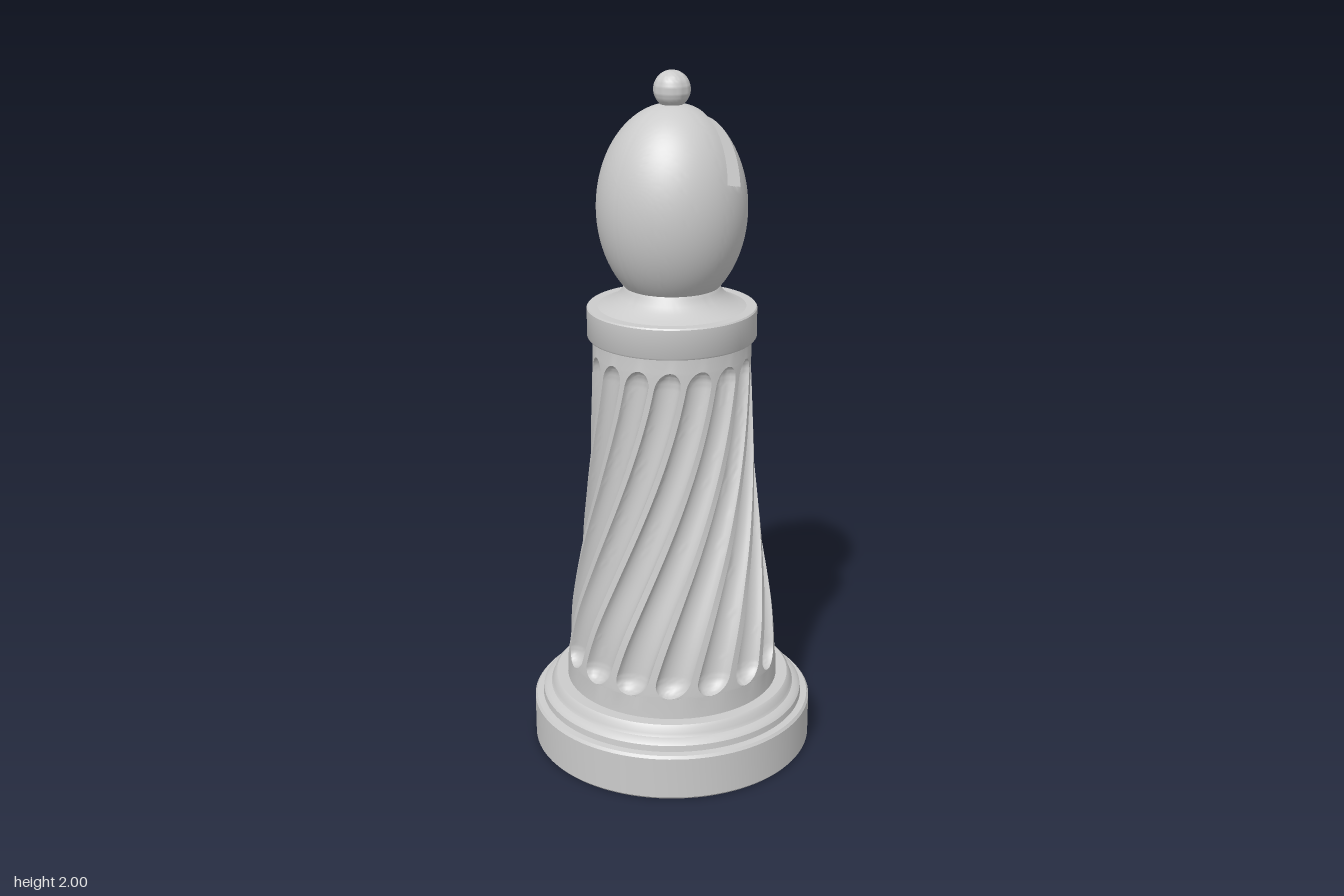
import * as THREE from 'three';
import { toCreasedNormals } from 'three/addons/utils/BufferGeometryUtils.js';

const material = new THREE.MeshStandardMaterial({ color: 0xcccccc });

function addPart(group, name, geometry, crease = 0.6) {
  const mesh = new THREE.Mesh(toCreasedNormals(geometry, crease), material);
  mesh.name = name;
  group.add(mesh);
  return mesh;
}

function lathe(profile) {
  return new THREE.LatheGeometry(profile.map(([r, y]) => new THREE.Vector2(r, y)), 96);
}

// Skin a list of closed loops, each an equally long array of [x, y, z]
function loft(loops) {
  const n = loops[0].length;
  const index = [];
  for (let i = 0; i < loops.length - 1; i++) {
    for (let j = 0; j < n; j++) {
      const k = (j + 1) % n;
      const a = i * n + j, b = i * n + k, c = a + n, d = b + n;
      index.push(a, b, d, a, d, c);
    }
  }
  const geometry = new THREE.BufferGeometry();
  geometry.setAttribute('position', new THREE.Float32BufferAttribute(loops.flat(2), 3));
  geometry.setIndex(index);
  return geometry;
}

// Tapered column with twisted, round-ended flutes
function flutedShaft() {
  const bottom = 0.2, top = 1.27, start = 0.265, end = 1.215;
  const flutes = 16, pitch = (Math.PI * 2) / flutes, twist = pitch * 3;
  const radii = [0.315, 0.301, 0.271, 0.247, 0.233, 0.226, 0.223];
  const profile = new THREE.SplineCurve(radii.map((r, i) => new THREE.Vector2(r, bottom + i * 0.2)));

  const heights = [bottom];
  for (let i = 0; i <= 72; i++) {
    heights.push(start + (end - start) * (1 - Math.cos((Math.PI * i) / 72)) / 2);
  }
  heights.push(top);

  return loft(heights.map((y) => {
    const r = profile.getPoint((y - bottom) / 1.2).x;
    const q = THREE.MathUtils.clamp((y - start) / (end - start), 0, 1);
    const turn = twist * (0.55 * q + 0.45 * q * q * (3 - 2 * q));
    const inset = THREE.MathUtils.clamp(Math.min(y - start, end - y) / 0.05, 0, 1);
    const width = Math.sqrt(1 - (1 - inset) ** 2);
    const edge = 0.41 * width;
    const loop = [];
    const add = (position, depth) => {
      const angle = position * pitch + turn;
      loop.push([Math.sin(angle) * (r - depth), y, Math.cos(angle) * (r - depth)]);
    };
    for (let k = 0; k < flutes; k++) {
      for (let j = 0; j <= 10; j++) {
        const a = (Math.PI * j) / 10;
        add(k - edge * Math.cos(a), 0.115 * r * width * Math.sin(a));
      }
      for (let m = 1; m < 4; m++) add(k + edge + (1 - 2 * edge) * m / 4, 0);
    }
    return loop;
  }));
}

// Ellipsoid sliced across a tilted slot; slices in the slot are cut off at its floor
function slottedHead() {
  const a = 0.21, b = 0.287, centreY = 1.625;
  const tilt = 0.235, s = Math.sin(tilt), c = Math.cos(tilt);
  const A = (s * s) / (a * a) + (c * c) / (b * b);
  const B = (s * c) / (a * a) - (s * c) / (b * b);
  const C = (c * c) / (a * a) + (s * s) / (b * b);
  const K = C - (B * B) / A;
  const reach = 1 / Math.sqrt(K);
  const slotFront = -0.006, slotBack = 0.056, floor = 0.09;

  const slice = (u, cut) => {
    const size = Math.sqrt(Math.max(0, 1 - K * u * u));
    const loop = [];
    for (let j = 0; j < 128; j++) {
      const t = (Math.PI * 2 * j) / 128;
      let v = -(B * u) / A + (size / Math.sqrt(A)) * Math.cos(t);
      if (cut) v = Math.min(v, floor);
      loop.push([a * size * Math.sin(t), centreY - s * u + c * v, -c * u - s * v]);
    }
    return loop;
  };

  const loops = [];
  const addRange = (from, to, steps, cut) => {
    const p0 = Math.asin(from / reach), p1 = Math.asin(to / reach);
    for (let i = 0; i <= steps; i++) {
      loops.push(slice(reach * Math.sin(p0 + ((p1 - p0) * i) / steps), cut));
    }
  };
  addRange(-reach, slotFront, 28, false);
  addRange(slotFront, slotBack, 6, true);
  addRange(slotBack, reach, 24, false);
  return loft(loops);
}

export function createModel() {
  const group = new THREE.Group();

  // Stepped round foot
  addPart(group, 'base', lathe([
    [0, 0], [0.41, 0], [0.415, 0.006], [0.415, 0.13], [0.409, 0.138], [0.39, 0.14],
    [0.388, 0.158], [0.38, 0.167], [0.365, 0.172], [0.36, 0.18], [0.356, 0.195],
    [0.348, 0.203], [0.3, 0.203],
  ]));

  addPart(group, 'shaft', flutedShaft());

  // Flat band above the shaft
  addPart(group, 'collar', lathe([
    [0.2, 1.257], [0.237, 1.257], [0.24, 1.262], [0.24, 1.342], [0.237, 1.346], [0.18, 1.346],
  ]));

  // Concave flare under the head
  addPart(group, 'neck', lathe([
    [0.212, 1.345], [0.19, 1.353], [0.168, 1.365], [0.15, 1.38], [0.138, 1.396],
    [0.134, 1.408], [0.12, 1.425],
  ]));

  addPart(group, 'head', slottedHead());

  const finial = addPart(group, 'finial', new THREE.SphereGeometry(0.051, 40, 24));
  finial.position.y = 1.949;

  return group;
}
